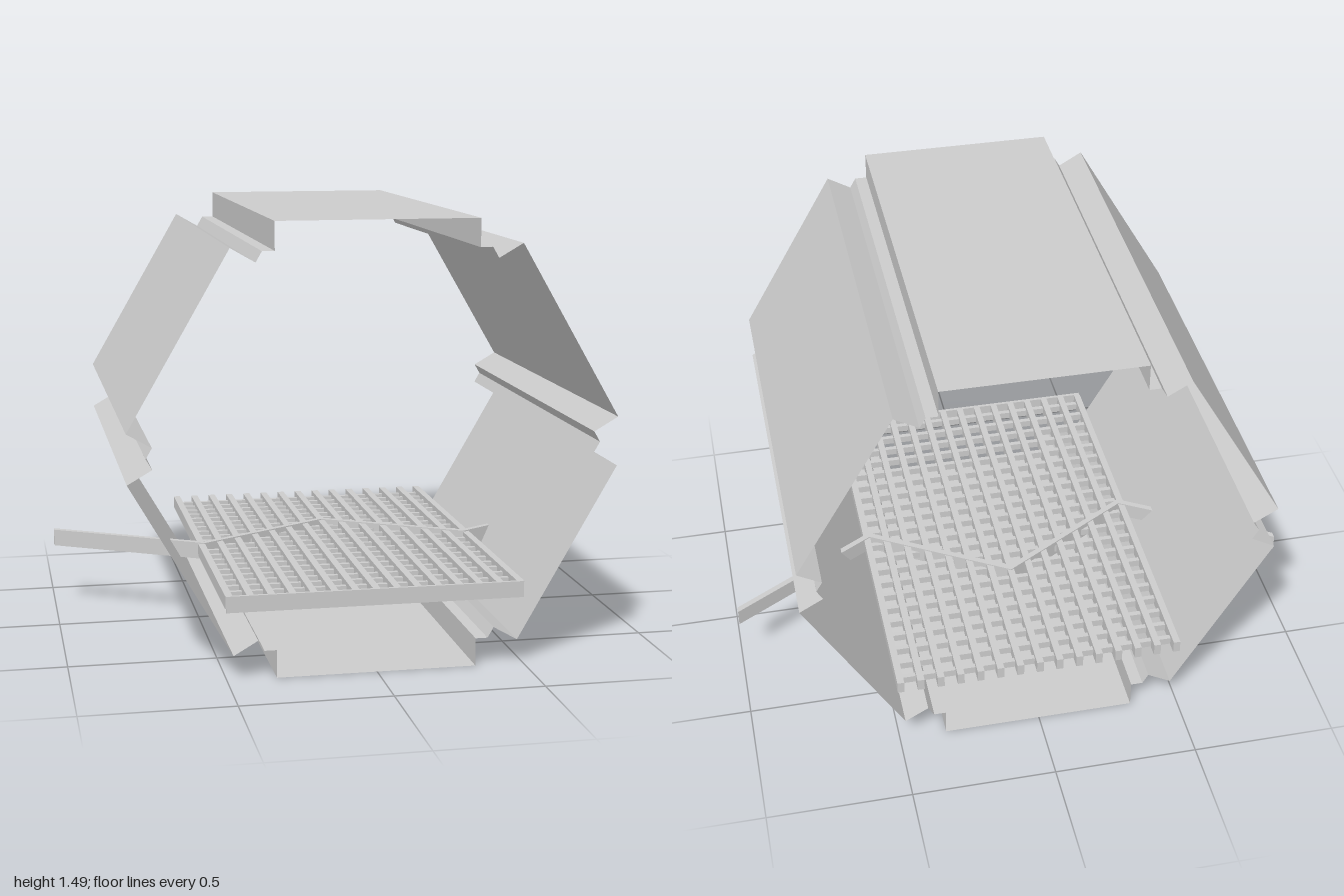
import * as THREE from 'three';

const grey = new THREE.MeshStandardMaterial({ color: 0xcccccc, flatShading: true });
const sheetGrey = new THREE.MeshStandardMaterial({ color: 0xcccccc, flatShading: true, side: THREE.DoubleSide });

const BACK = -0.737, FRONT = 0.748; // ends of the tube
const APOTHEM = 0.745;

// Thin folded sheet: an open xy profile swept straight along z
function foldedSheet(profile, z0, z1) {
  const pos = [];
  for (let i = 0; i < profile.length - 1; i++) {
    const [ax, ay] = profile[i], [bx, by] = profile[i + 1];
    pos.push(ax, ay, z0, ax, ay, z1, bx, by, z1, ax, ay, z0, bx, by, z1, bx, by, z0);
  }
  const geo = new THREE.BufferGeometry();
  geo.setAttribute('position', new THREE.Float32BufferAttribute(pos, 3));
  geo.computeVertexNormals();
  return geo;
}

function box(name, w, h, d, x, y, z) {
  const mesh = new THREE.Mesh(new THREE.BoxGeometry(w, h, d), grey);
  mesh.position.set(x, y, z);
  mesh.name = name;
  return mesh;
}

// Hexagonal tube of six flanged panels; the flanges form a groove at each corner
function createShell() {
  const shell = new THREE.Group();
  shell.name = 'hexagonalShell';
  const half = [[0.335, APOTHEM], [0.335, 0.651], [0.376, 0.651]];
  const profile = [...half.map(([x, y]) => [-x, y]).reverse(), ...half];
  const geo = foldedSheet(profile, BACK, FRONT);
  for (let i = 0; i < 6; i++) {
    const panel = new THREE.Mesh(geo, sheetGrey);
    panel.rotation.z = i * Math.PI / 3;
    panel.name = 'shellPanel' + (i + 1);
    shell.add(panel);
  }
  shell.position.y = APOTHEM;
  return shell;
}

// Grated floor: long bars, lower cross bars and a closing plate at the front
function createFloor() {
  const floor = new THREE.Group();
  floor.name = 'gratedFloor';
  const z0 = -0.748, z1 = 0.735;
  for (let i = -7; i <= 7; i++) {
    floor.add(box('longBar', 0.024, 0.044, z1 - z0, i * 0.07, 0.26, (z0 + z1) / 2));
  }
  for (let i = 0; i < 21; i++) {
    floor.add(box('crossBar', 0.98, 0.026, 0.018, 0, 0.254, -0.7 + i * 0.07));
  }
  floor.add(box('frontPlate', 1.0, 0.055, 0.012, 0, 0.2545, 0.741));
  return floor;
}

// Zigzag brace that crosses the floor and passes out through both walls
function createBrace() {
  const right = [[0, -0.25], [0.48, 0.035], [1, -0.273]];
  const path = [...right.slice(1).map(([x, z]) => [-x, z]).reverse(), ...right];
  const t = 0.012;
  const outline = [
    ...path.map(([x, z]) => new THREE.Vector2(x, -z - t)),
    ...path.map(([x, z]) => new THREE.Vector2(x, -z + t)).reverse(),
  ];
  const geo = new THREE.ExtrudeGeometry(new THREE.Shape(outline), { depth: 0.059, bevelEnabled: false });
  geo.rotateX(-Math.PI / 2);
  const brace = new THREE.Mesh(geo, grey);
  brace.position.y = 0.227;
  brace.name = 'zigzagBrace';
  return brace;
}

export function createModel() {
  const model = new THREE.Group();
  model.name = 'hexagonalTunnel';
  model.add(createShell(), createFloor(), createBrace());
  return model;
}
